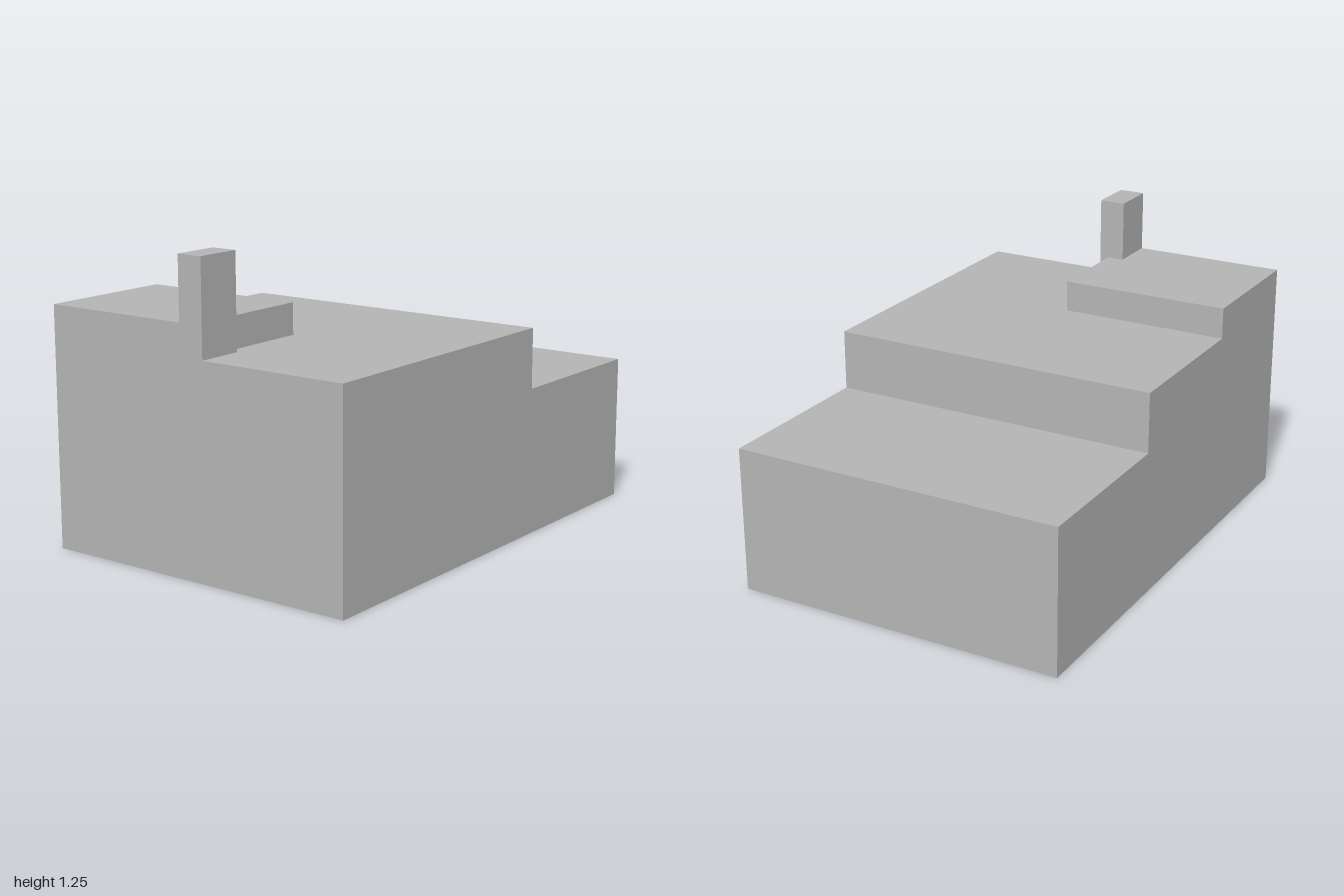
import * as THREE from 'three';

// Key dimensions
const X = 0.7, Z = 1;                              // half width, half depth
const LOW = 0.61, MAIN = 0.86, HIGH = 0.99, TOP = 1.245; // roof heights
const zStep = -0.27;                               // low roof meets main roof
const xHigh = 0.02, zHigh = 0.415;                 // raised roof corner
const px0 = -0.05, px1 = 0.06, pz = 0.805;         // chimney footprint

// How a flat panel facing each way is turned from the xy plane,
// and the sign its two in-plane model coordinates need
const facings = {
  front: { sign: [1, 1], place: (g, d) => g.translate(0, 0, d) },
  back: { sign: [-1, 1], place: (g, d) => g.rotateY(Math.PI).translate(0, 0, d) },
  left: { sign: [-1, 1], place: (g, d) => g.rotateY(Math.PI / 2).translate(d, 0, 0) },
  right: { sign: [1, 1], place: (g, d) => g.rotateY(-Math.PI / 2).translate(d, 0, 0) },
  up: { sign: [1, -1], place: (g, d) => g.rotateX(-Math.PI / 2).translate(0, d, 0) },
};

const rect = (a0, a1, b0, b1) => [[a0, b0], [a1, b0], [a1, b1], [a0, b1]];

export function createModel() {
  const model = new THREE.Group();
  model.name = 'steppedBuilding';
  const grey = new THREE.MeshStandardMaterial({ color: 0xb4b4b4, side: THREE.DoubleSide });
  grey.name = 'plain grey';

  const body = new THREE.Group();
  body.name = 'body';
  const chimney = new THREE.Group();
  chimney.name = 'chimney';
  model.add(body, chimney);

  // Points are (x, y) for front/back, (z, y) for left/right, (x, z) for up
  function panel(parent, name, facing, depth, points) {
    const { sign, place } = facings[facing];
    const shape = new THREE.Shape(points.map(([a, b]) => new THREE.Vector2(a * sign[0], b * sign[1])));
    const geometry = new THREE.ShapeGeometry(shape);
    place(geometry, depth);
    const mesh = new THREE.Mesh(geometry, grey);
    mesh.name = name;
    parent.add(mesh);
  }

  // Outer walls, open underneath
  panel(body, 'frontWall', 'front', Z,
    [[-X, 0], [X, 0], [X, MAIN], [px1, MAIN], [px1, HIGH], [-X, HIGH]]);
  panel(body, 'backWall', 'back', -Z, rect(-X, X, 0, LOW));
  panel(body, 'leftWall', 'left', X,
    [[-Z, 0], [Z, 0], [Z, MAIN], [zStep, MAIN], [zStep, LOW], [-Z, LOW]]);
  panel(body, 'rightWall', 'right', -X,
    [[-Z, 0], [Z, 0], [Z, HIGH], [zHigh, HIGH], [zHigh, MAIN], [zStep, MAIN], [zStep, LOW], [-Z, LOW]]);

  // Flat roofs
  panel(body, 'lowRoof', 'up', LOW, rect(-X, X, -Z, zStep));
  panel(body, 'mainRoof', 'up', MAIN,
    [[-X, zStep], [X, zStep], [X, Z], [px1, Z], [px1, pz], [xHigh, pz], [xHigh, zHigh], [-X, zHigh]]);
  panel(body, 'raisedRoof', 'up', HIGH,
    [[-X, zHigh], [xHigh, zHigh], [xHigh, pz], [px0, pz], [px0, Z], [-X, Z]]);

  // Step walls between the roofs
  panel(body, 'mainStep', 'back', zStep, rect(-X, X, LOW, MAIN));
  panel(body, 'raisedStepBack', 'back', zHigh, rect(-X, xHigh, MAIN, HIGH));
  panel(body, 'raisedStepSide', 'left', xHigh, rect(zHigh, pz, MAIN, HIGH));

  // Chimney, its outer strip reaching down to the main roof
  panel(chimney, 'chimneyFront', 'front', Z, rect(px0, px1, HIGH, TOP));
  panel(chimney, 'chimneyLeft', 'left', px1, rect(pz, Z, MAIN, TOP));
  panel(chimney, 'chimneyRight', 'right', px0, rect(pz, Z, HIGH, TOP));
  panel(chimney, 'chimneyBack', 'back', pz,
    [[px0, HIGH], [xHigh, HIGH], [xHigh, MAIN], [px1, MAIN], [px1, TOP], [px0, TOP]]);
  panel(chimney, 'chimneyTop', 'up', TOP, rect(px0, px1, pz, Z));

  return model;
}
